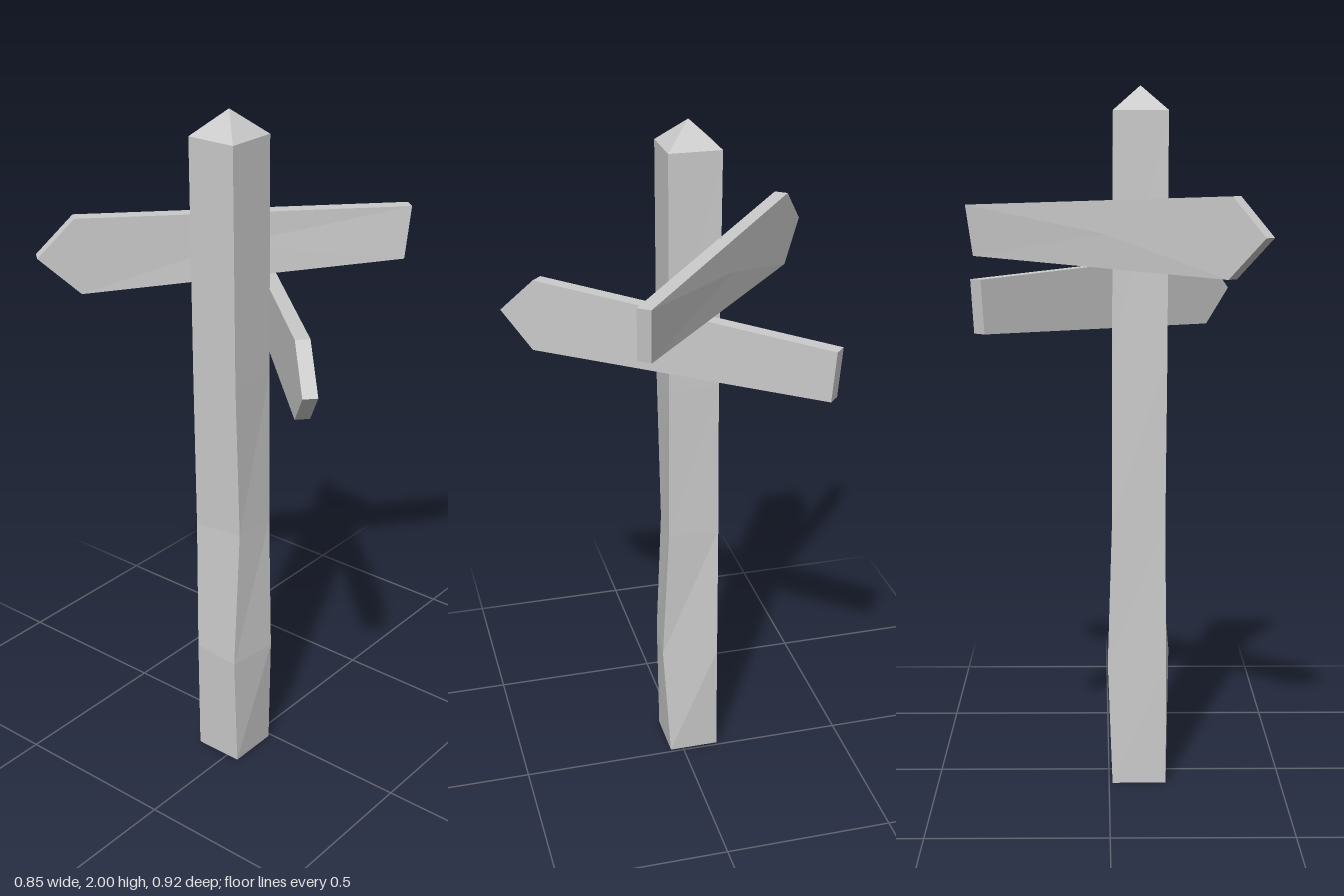
import * as THREE from 'three';

const material = new THREE.MeshStandardMaterial({ color: 0xcccccc, flatShading: true });

// Skins a stack of equal-sized rings and closes each end with a fan to an apex.
function loft(name, rings, startApex, endApex) {
  const pos = [];
  const tri = (a, b, c) => pos.push(...a, ...b, ...c);
  const n = rings[0].length;
  const last = rings[rings.length - 1];
  for (let j = 0; j < n; j++) {
    const k = (j + 1) % n;
    for (let i = 0; i < rings.length - 1; i++) {
      const [lo, hi] = [rings[i], rings[i + 1]];
      tri(lo[j], lo[k], hi[k]);
      tri(lo[j], hi[k], hi[j]);
    }
    tri(rings[0][k], rings[0][j], startApex);
    tri(last[j], last[k], endApex);
  }
  const geometry = new THREE.BufferGeometry();
  geometry.setAttribute('position', new THREE.Float32BufferAttribute(pos, 3));
  geometry.computeVertexNormals();
  const mesh = new THREE.Mesh(geometry, material);
  mesh.name = name;
  return mesh;
}

// Roughly hewn square post with a pointed top and slightly hollowed foot.
function createPost() {
  // height, then x,z of front-right, back-right, back-left, front-left corners
  const sections = [
    [0, -0.01, 0.04, -0.01, -0.11, -0.165, -0.11, -0.165, 0.04],
    [0.36, -0.025, 0.06, 0.004, -0.105, -0.165, -0.11, -0.178, 0.042],
    [0.78, -0.012, 0.042, -0.008, -0.108, -0.16, -0.11, -0.14, 0.035],
    [1.25, -0.01, 0.04, -0.008, -0.105, -0.163, -0.11, -0.16, 0.04],
    [1.93, -0.01, 0.04, -0.01, -0.11, -0.163, -0.11, -0.163, 0.04],
  ];
  const rings = sections.map(([y, ...c]) =>
    [0, 2, 4, 6].map((i) => [c[i], y, c[i + 1]]));
  return loft('post', rings, [-0.087, 0.02, -0.035], [-0.087, 2, -0.035]);
}

// Arrow board: outline points are [along, height, sideways shift].
function createBoard(name, outline, x, z, angle) {
  const half = 0.02;
  const ring = (side) => outline.map(([s, y, shift = 0]) => [s, y, side * half + shift]);
  const centre = (side) => [0, outline[0][1], side * half];
  const board = loft(name, [ring(-1), ring(1)], centre(-1), centre(1));
  board.position.set(x, 0, z);
  board.rotation.y = angle;
  return board;
}

export function createModel() {
  const group = new THREE.Group();
  group.name = 'signpost';
  group.add(createPost());
  group.add(createBoard('upperArrowBoard', [
    [-0.525, 1.595], [-0.41, 1.485], [0.505, 1.52, 0.01], [0.525, 1.67], [-0.42, 1.7],
  ], 0, -0.119, -0.674));
  group.add(createBoard('lowerArrowBoard', [
    [-0.527, 1.41], [-0.42, 1.305], [0.515, 1.338], [0.527, 1.483], [-0.41, 1.52],
  ], -0.003, 0.058, 0.826));
  return group;
}
